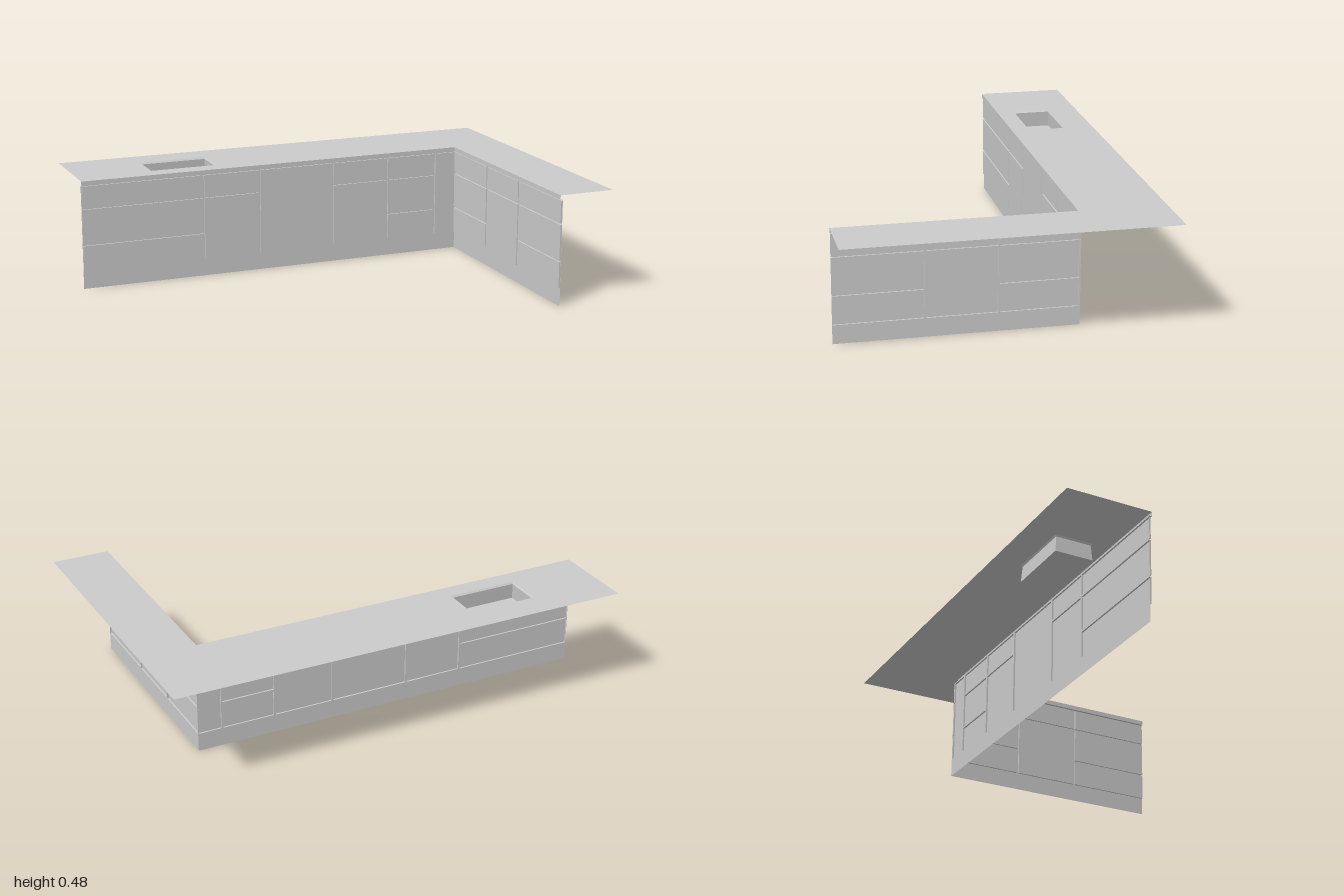
import * as THREE from 'three';
import { mergeGeometries } from 'three/addons/utils/BufferGeometryUtils.js';

const material = new THREE.MeshStandardMaterial({ color: 0xcccccc, side: THREE.DoubleSide, flatShading: true });

const TOP = 0.477, LIP = 0.457, KICK = 0.075;      // heights
const FACE_Z = -0.314, FACE_X = 0.757;             // planes of the two runs of fronts
const RECESS = 0.007, GAP = 0.008;                 // joints between the fronts
const THREE_DRAWERS = [0.195, 0.355], DRAWER_DOOR = [0.355], DOOR = [];

function mesh(name, geometry) {
  const m = new THREE.Mesh(geometry, material);
  m.name = name;
  return m;
}

function quad(a, b, c, d) {
  const g = new THREE.BufferGeometry();
  g.setAttribute('position', new THREE.Float32BufferAttribute([...a, ...b, ...c, ...a, ...c, ...d], 3));
  g.computeVertexNormals();
  return g;
}

function rectPoints(x0, y0, x1, y1) {
  return [[x0, y0], [x1, y0], [x1, y1], [x0, y1]];
}

// Bands joining successive four-cornered loops
function loft(loops) {
  const bands = [];
  for (let i = 0; i + 1 < loops.length; i++)
    for (let k = 0; k < 4; k++) {
      const n = (k + 1) % 4;
      bands.push(quad(loops[i][k], loops[i][n], loops[i + 1][n], loops[i + 1][k]));
    }
  return bands;
}

const toPath = (pts) => pts.map(([x, y]) => new THREE.Vector2(x, y));

// A straight run of fronts: local x along the run, z outward.
// Each column is [start, end, heights of the horizontal joints].
function cabinetRun(name, columns) {
  const run = new THREE.Group();
  run.name = name;
  const start = columns[0][0], end = columns[columns.length - 1][1];
  const backing = new THREE.Shape(toPath(rectPoints(start, KICK, end, LIP)));

  columns.forEach(([x0, x1, joints], i) => {
    const levels = [KICK, ...joints, LIP];
    const left = x0 + (i === 0 ? 0.001 : GAP / 2);
    const right = x1 - (i === columns.length - 1 ? 0.001 : GAP / 2);
    for (let k = 0; k + 1 < levels.length; k++) {
      const outline = rectPoints(left, levels[k] + GAP / 2, right, levels[k + 1] - GAP / 2);
      backing.holes.push(new THREE.Path(toPath(outline)));
      const rear = outline.map(([x, y]) => [x, y, -RECESS]);
      const face = outline.map(([x, y]) => [x, y, 0]);
      run.add(mesh(joints.length && k > 0 ? 'drawerFront' : 'cabinetFront',
        mergeGeometries([quad(...face), ...loft([rear, face])])));
    }
  });

  // Recessed strips seen in the joints, and the plinth
  run.add(mesh('frontJoints', new THREE.ShapeGeometry(backing).translate(0, 0, -RECESS)));
  run.add(mesh('plinth', quad([start, 0, -RECESS], [end, 0, -RECESS], [end, KICK, -RECESS], [start, KICK, -RECESS])));
  return run;
}

function countertop(sink) {
  const x = 0.753, z = -0.308;
  const group = new THREE.Group();
  group.name = 'countertop';

  // L-shaped sheet drawn with shape y = -z
  const sheet = new THREE.Shape(toPath([
    [-1, 0.68], [-1, -z], [x, -z], [x, -0.675], [1, -0.675], [1, 0.672],
  ]));
  sheet.holes.push(new THREE.Path(toPath(rectPoints(sink.x0, -sink.z1, sink.x1, -sink.z0))));
  group.add(mesh('worktop', new THREE.ShapeGeometry(sheet).rotateX(-Math.PI / 2).translate(0, TOP, 0)));

  // Front edge with its short return to the cabinets
  const backZ = FACE_Z - RECESS, backX = FACE_X + RECESS;
  group.add(mesh('worktopEdge', mergeGeometries([
    quad([-1, LIP, z], [x, LIP, z], [x, TOP, z], [-1, TOP, z]),
    quad([x, LIP, z], [x, LIP, 0.675], [x, TOP, 0.675], [x, TOP, z]),
    quad([-1, LIP, backZ], [backX, LIP, backZ], [x, LIP, z], [-1, LIP, z]),
    quad([x, LIP, z], [backX, LIP, backZ], [backX, LIP, 0.675], [x, LIP, 0.675]),
  ])));
  return group;
}

// Open basin with a small rim and walls widening towards the floor
function basin({ x0, x1, z0, z1 }) {
  const loops = [[TOP, 0], [0.47, 0.005], [0.402, 0]].map(([y, inset]) =>
    rectPoints(x0 + inset, z0 + inset, x1 - inset, z1 - inset).map(([x, z]) => [x, y, z]));
  const floor = quad(...[...loops[2]].reverse());
  return mesh('sinkBasin', mergeGeometries([...loft(loops), floor]));
}

export function createModel() {
  const model = new THREE.Group();
  model.name = 'kitchenCounter';

  const sink = { x0: -0.667, x1: -0.366, z0: -0.552, z1: -0.386 };
  model.add(countertop(sink), basin(sink));

  // Long run
  const longRun = cabinetRun('longCabinetRun', [
    [-1, -0.455, THREE_DRAWERS],
    [-0.455, -0.195, DRAWER_DOOR],
    [-0.195, 0.155, DOOR],
    [0.155, 0.42, DRAWER_DOOR],
    [0.42, 0.656, THREE_DRAWERS],
    [0.656, FACE_X + RECESS, DOOR],
  ]);
  longRun.position.z = FACE_Z;

  // Short run, turned to face the inside of the L
  const shortRun = cabinetRun('shortCabinetRun', [
    [FACE_Z - RECESS, 0.01, THREE_DRAWERS],
    [0.01, 0.305, DRAWER_DOOR],
    [0.305, 0.675, THREE_DRAWERS],
  ]);
  shortRun.rotation.y = -Math.PI / 2;
  shortRun.position.x = FACE_X;

  model.add(longRun, shortRun);
  return model;
}
